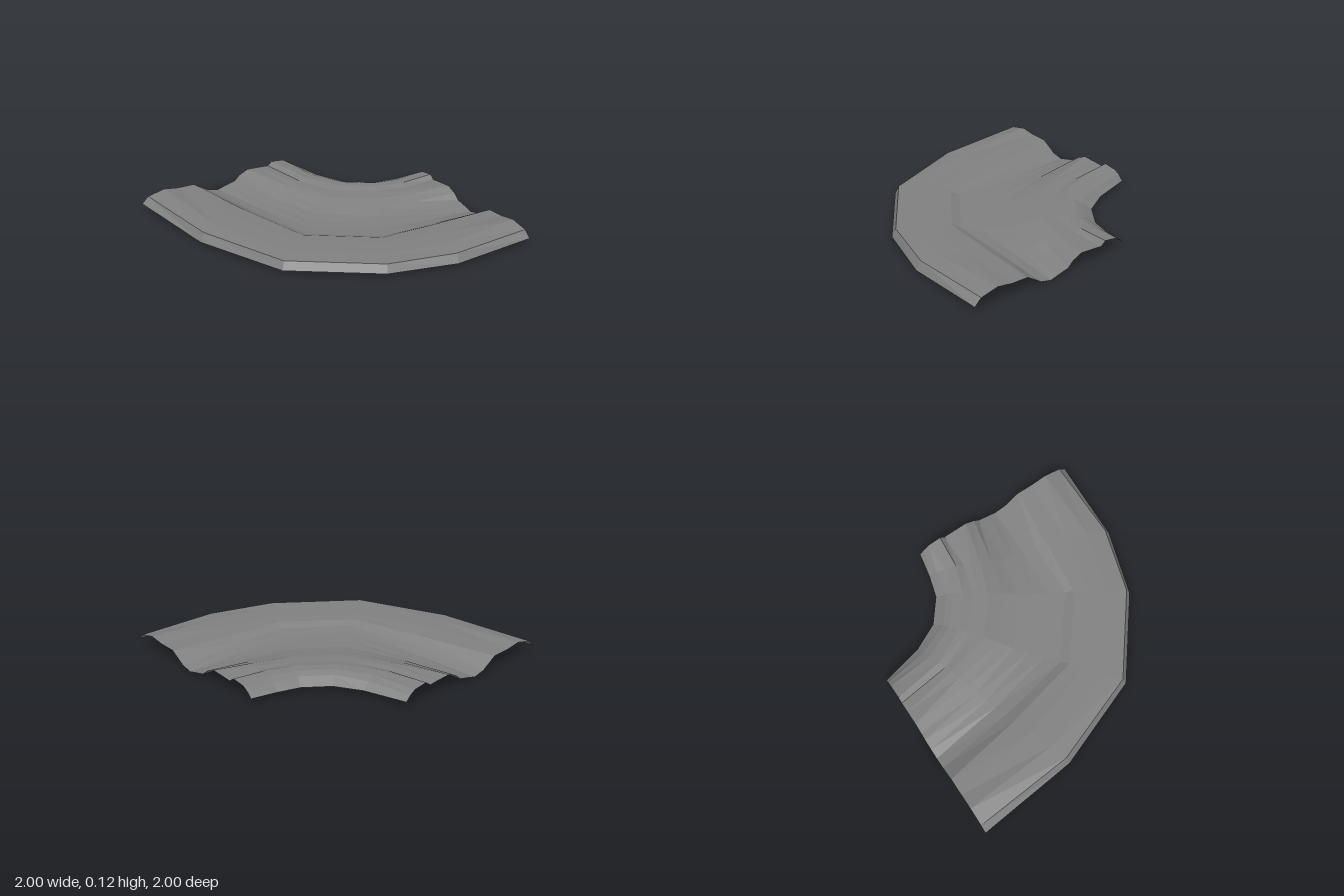
import * as THREE from 'three';

// Outer and inner border of the bend, one [x, z] per station
const OUTER = [[-1, -1], [-0.91, -0.25], [-0.65, 0.41], [-0.1, 0.83], [0.38, 0.98], [1, 1]];
const INNER = [[0.3, -1], [0.38, -0.69], [0.48, -0.5], [0.65, -0.37], [0.81, -0.325], [1, -0.29]];

// Cross-sections from outer rim to inner rim: t = share of the width, y = height
const SECTIONS = {
  end: {
    t: [0, 0.04, 0.14, 0.23, 0.33, 0.42, 0.485, 0.54, 0.6, 0.635, 0.69, 0.77, 0.83, 0.86, 0.94, 0.97, 1],
    y: [0.045, 0.093, 0.12, 0.1, 0.095, 0.02, 0.0, 0.018, 0.035, 0.075, 0.105, 0.098, 0.09, 0.12, 0.105, 0.08, 0.04],
  },
  quarter: {
    t: [0, 0.025, 0.12, 0.24, 0.35, 0.41, 0.48, 0.54, 0.6, 0.66, 0.72, 0.77, 0.81, 0.85, 0.91, 0.955, 1],
    y: [0.025, 0.088, 0.098, 0.096, 0.085, 0.045, 0.028, 0.032, 0.042, 0.065, 0.088, 0.094, 0.09, 0.105, 0.1, 0.078, 0.035],
  },
  middle: {
    t: [0, 0.02, 0.12, 0.22, 0.29, 0.335, 0.42, 0.5, 0.58, 0.65, 0.73, 0.77, 0.81, 0.86, 0.91, 0.945, 1],
    y: [0.025, 0.085, 0.088, 0.088, 0.084, 0.06, 0.048, 0.043, 0.045, 0.062, 0.084, 0.086, 0.088, 0.1, 0.096, 0.078, 0.032],
  },
};
const ORDER = ['end', 'quarter', 'middle', 'middle', 'quarter', 'end'];

export function createModel() {
  const group = new THREE.Group();
  group.name = 'curvedChannelTerrain';
  const stone = new THREE.MeshStandardMaterial({ color: 0x808080, side: THREE.DoubleSide, flatShading: true });
  stone.name = 'stoneGrey';

  // Loft the cross-sections around the bend
  const positions = [];
  const index = [];
  const n = SECTIONS.end.t.length;
  ORDER.forEach((key, i) => {
    const { t, y } = SECTIONS[key];
    for (let j = 0; j < n; j++) {
      positions.push(
        THREE.MathUtils.lerp(OUTER[i][0], INNER[i][0], t[j]),
        y[j],
        THREE.MathUtils.lerp(OUTER[i][1], INNER[i][1], t[j]),
      );
      if (i < ORDER.length - 1 && j < n - 1) {
        const a = i * n + j;
        const b = a + n;
        index.push(a, b, a + 1, b, b + 1, a + 1);
      }
    }
  });
  const indexed = new THREE.BufferGeometry();
  indexed.setAttribute('position', new THREE.Float32BufferAttribute(positions, 3));
  indexed.setIndex(index);
  const geometry = indexed.toNonIndexed();
  geometry.computeVertexNormals();

  const sheet = new THREE.Mesh(geometry, stone);
  sheet.name = 'bentChannelBed';
  group.add(sheet);
  return group;
}
